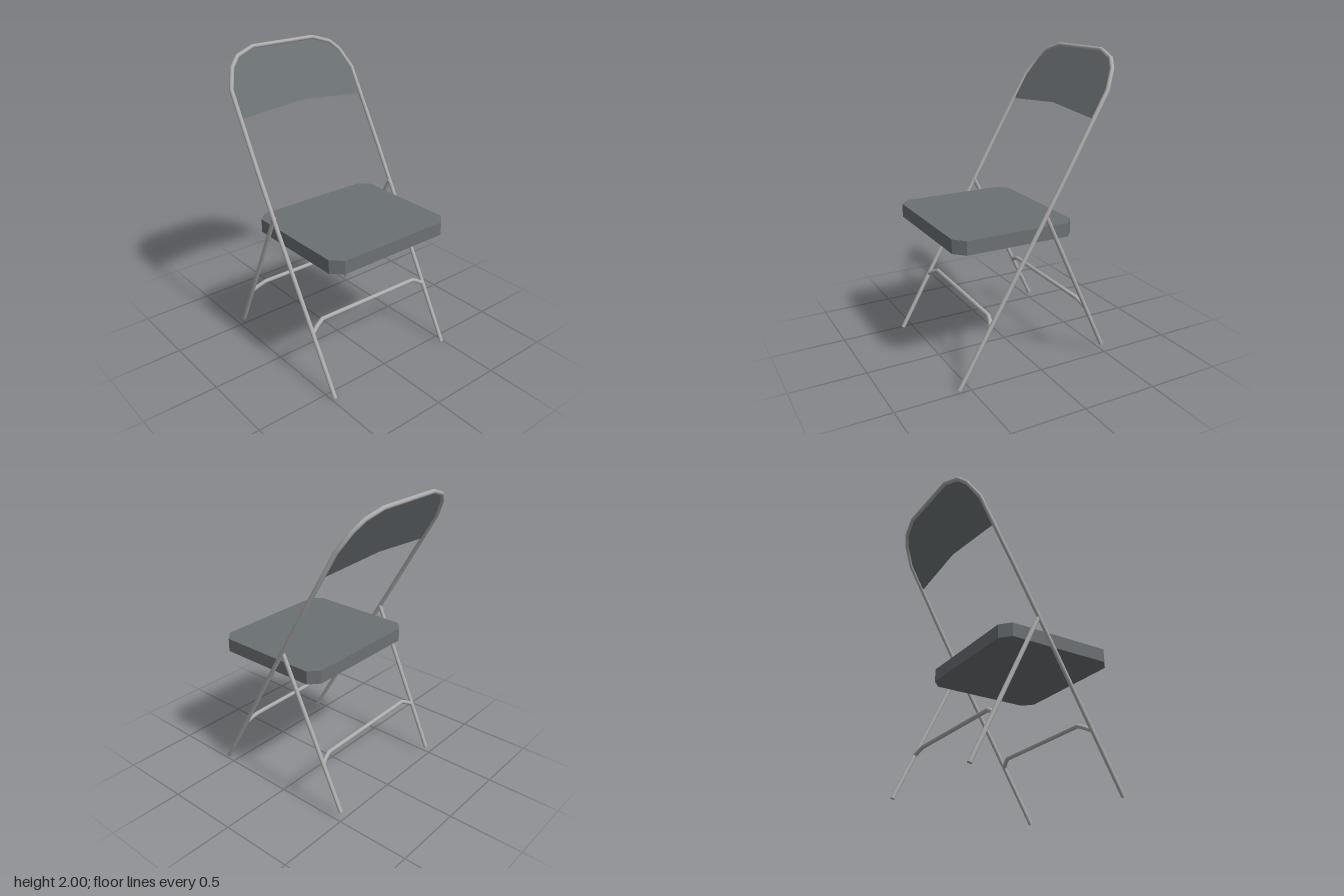
import * as THREE from 'three';

const RADIUS = 0.014;
const SIDES = 12;

// Bent rod along points lying in one plane, with mitred corners and flat end caps
function rodGeometry(points, planeNormal) {
  const pos = [], nor = [], idx = [];
  const n = planeNormal.clone().normalize();
  const last = points.length - 1;
  const dirs = points.slice(1).map((p, i) => p.clone().sub(points[i]).normalize());
  const ring = (i, capDir) => {
    const a = dirs[Math.max(i - 1, 0)], b = dirs[Math.min(i, last - 1)];
    const t = a.clone().add(b).normalize();
    const side = n.clone().cross(t).normalize();
    const mitre = 1 / t.dot(a);
    const start = pos.length / 3;
    for (let k = 0; k < SIDES; k++) {
      const ang = (k / SIDES) * Math.PI * 2, c = Math.cos(ang), s = Math.sin(ang);
      const p = points[i].clone().addScaledVector(side, c * RADIUS * mitre).addScaledVector(n, s * RADIUS);
      const q = capDir || side.clone().multiplyScalar(c).addScaledVector(n, s);
      pos.push(p.x, p.y, p.z);
      nor.push(q.x, q.y, q.z);
    }
    return start;
  };
  points.forEach((_, i) => ring(i));
  for (let i = 0; i < last; i++) {
    for (let k = 0; k < SIDES; k++) {
      const a = i * SIDES + k, b = i * SIDES + ((k + 1) % SIDES);
      idx.push(a, a + SIDES, b, b, a + SIDES, b + SIDES);
    }
  }
  const s0 = ring(0, dirs[0].clone().negate());
  const s1 = ring(last, dirs[last - 1]);
  for (let k = 1; k < SIDES - 1; k++) {
    idx.push(s0, s0 + k, s0 + k + 1);
    idx.push(s1, s1 + k + 1, s1 + k);
  }
  // Make the winding agree with the outward normals
  const v = (i) => new THREE.Vector3().fromArray(pos, i * 3);
  for (let i = 0; i < idx.length; i += 3) {
    const [a, b, c] = [v(idx[i]), v(idx[i + 1]), v(idx[i + 2])];
    const face = b.sub(a).cross(c.sub(a));
    const out = new THREE.Vector3();
    for (let j = 0; j < 3; j++) out.add(new THREE.Vector3().fromArray(nor, idx[i + j] * 3));
    if (face.dot(out) < 0) [idx[i + 1], idx[i + 2]] = [idx[i + 2], idx[i + 1]];
  }
  const g = new THREE.BufferGeometry();
  g.setAttribute('position', new THREE.Float32BufferAttribute(pos, 3));
  g.setAttribute('normal', new THREE.Float32BufferAttribute(nor, 3));
  g.setIndex(idx);
  return g;
}

// The two slanted planes: z as a function of height
const frontZ = (y) => 0.57 - 0.576 * (y - 0.007);
const rearZ = (y) => -0.485 + 0.47 * (y - 0.055);
const frontNormal = new THREE.Vector3(0, 0.576, 1);
const rearNormal = new THREE.Vector3(0, -0.47, 1);
const onPlane = (pts, zOf) => pts.map(([x, y]) => new THREE.Vector3(x, y, zOf(y)));
const mirrored = (pts) => [...pts, ...pts.slice().reverse().map(([x, y]) => [-x, y])];

export function createModel() {
  const metal = new THREE.MeshStandardMaterial({ color: 0xacacac });
  metal.name = 'grey metal';
  const panel = new THREE.MeshStandardMaterial({ color: 0x6b7073, side: THREE.DoubleSide });
  panel.name = 'dark grey panel';

  const chair = new THREE.Group();
  chair.name = 'foldingChair';
  const add = (name, geometry, material) => {
    const mesh = new THREE.Mesh(geometry, material);
    mesh.name = name;
    chair.add(mesh);
    return mesh;
  };

  // Front legs and back hoop in one bent rod
  const arch = [[0.488, 1.77], [0.432, 1.888], [0.37, 1.945], [0.24, 1.986]];
  const leg = [[0.48, 0.007], [0.487, 0.5], [0.494, 0.95], [0.495, 1.3]];
  add('frontFrame', rodGeometry(onPlane(mirrored([...leg, ...arch]), frontZ), frontNormal), metal);

  // Rear legs
  for (const [name, s] of [['rearLegLeft', 1], ['rearLegRight', -1]]) {
    const pts = onPlane([[s * 0.478, 0.055], [s * 0.49, 1.04]], rearZ);
    add(name, rodGeometry(pts, rearNormal), metal);
  }

  // Cross bars with bent ends
  const bar = (y) => [[-0.48, y - 0.05], [-0.44, y - 0.025], [-0.385, y],
    [0.405, y - 0.01], [0.44, y - 0.025], [0.48, y - 0.05]];
  add('frontCrossBar', rodGeometry(onPlane(bar(0.432), frontZ), frontNormal), metal);
  add('rearCrossBar', rodGeometry(onPlane(bar(0.41), rearZ), rearNormal), metal);

  // Backrest sheet filling the hoop, sheared onto the front plane
  const outline = [...mirrored([[0.49, 1.6], ...arch]), [0, 1.635]];
  const back = new THREE.ShapeGeometry(new THREE.Shape(outline.map(([x, y]) => new THREE.Vector2(x, y))));
  const p = back.attributes.position;
  for (let i = 0; i < p.count; i++) p.setZ(i, frontZ(p.getY(i)));
  back.computeVertexNormals();
  add('backrest', back, panel);

  // Seat slab with cut corners (shape y becomes -z)
  const seatOutline = [[-0.4, -0.565], [0.4, -0.565], [0.47, -0.5], [0.47, 0.2],
    [0.4, 0.26], [-0.4, 0.26], [-0.47, 0.2], [-0.47, -0.5]];
  const seat = new THREE.ExtrudeGeometry(
    new THREE.Shape(seatOutline.map(([x, y]) => new THREE.Vector2(x, y))),
    { depth: 0.09, bevelEnabled: false });
  seat.rotateX(-Math.PI / 2);
  seat.translate(0, 0.87, 0);
  add('seat', seat, panel);

  return chair;
}
